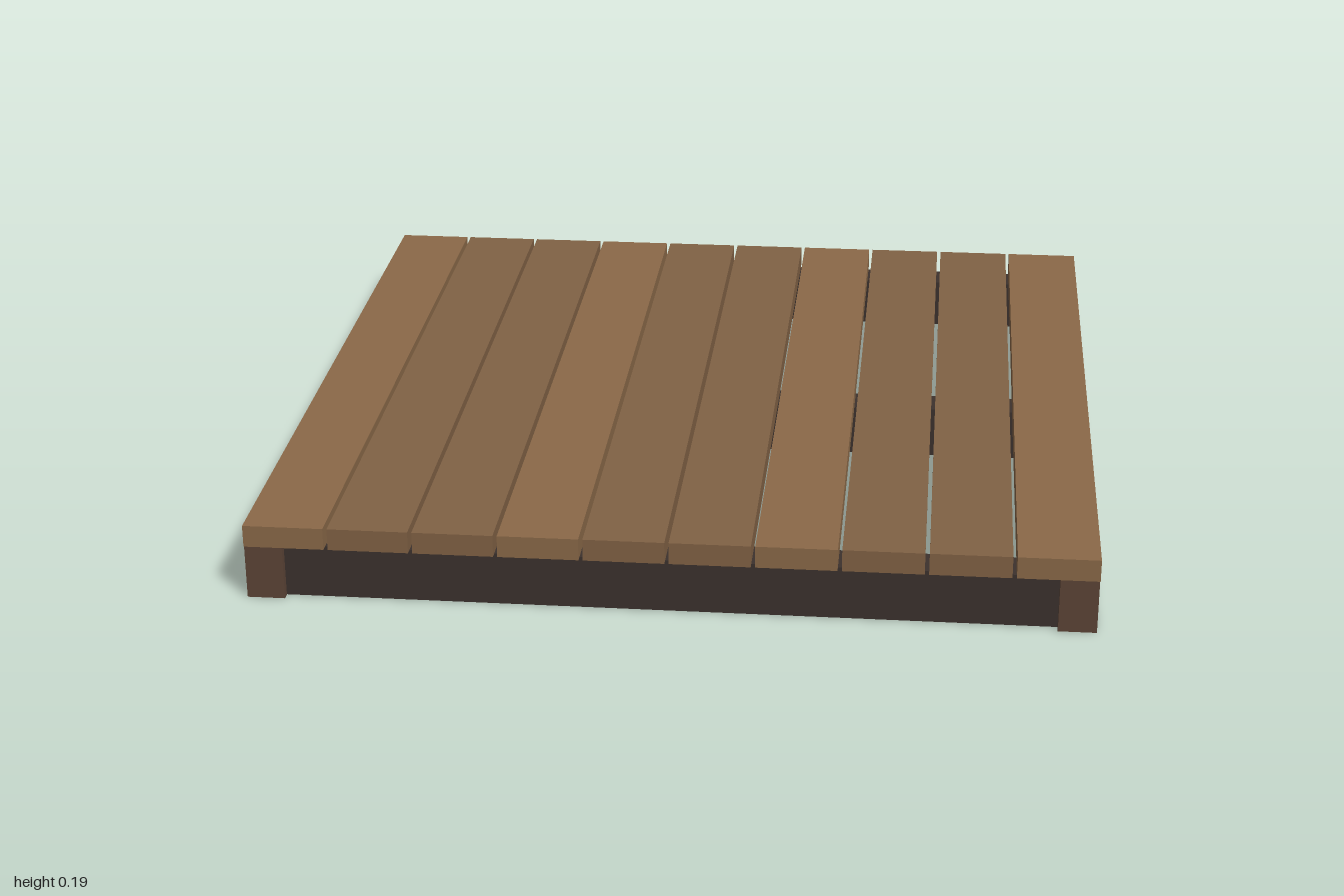
import * as THREE from 'three';

export function createModel() {
  const group = new THREE.Group();
  const paint = (color) => new THREE.MeshStandardMaterial({ color });
  const lightWood = paint(0x8b6948), midWood = paint(0x816245);
  const railWood = paint(0x5d4537), beamWood = paint(0x3c322d);

  const addBox = (name, [w, h, d], [x, y, z], material) => {
    const mesh = new THREE.Mesh(new THREE.BoxGeometry(w, h, d), material);
    mesh.name = name;
    mesh.position.set(x, y, z);
    group.add(mesh);
  };

  // Deck planks running front to back, every third one lighter
  const count = 10, gap = 0.01, deckBase = 0.133, deckTop = 0.187;
  const width = (2 - gap * (count - 1)) / count;
  for (let i = 0; i < count; i++) {
    const x = -1 + width / 2 + i * (width + gap);
    addBox(`plank${i + 1}`, [width, deckTop - deckBase, 2],
      [x, (deckBase + deckTop) / 2, 0], i % 3 === 0 ? lightWood : midWood);
  }

  // Side rails under the outer planks
  for (const side of [-1, 1]) {
    addBox(side > 0 ? 'leftRail' : 'rightRail', [0.09, deckBase, 1.998],
      [side * 0.954, deckBase / 2, 0], railWood);
  }

  // Cross beams, with their ends showing on the outside of the rails
  const beams = { backBeam: -0.935, middleBeam: 0, frontBeam: 0.935 };
  for (const [name, z] of Object.entries(beams)) {
    addBox(name, [2, 0.131, 0.09], [0, 0.0665, z], beamWood);
  }
  return group;
}
